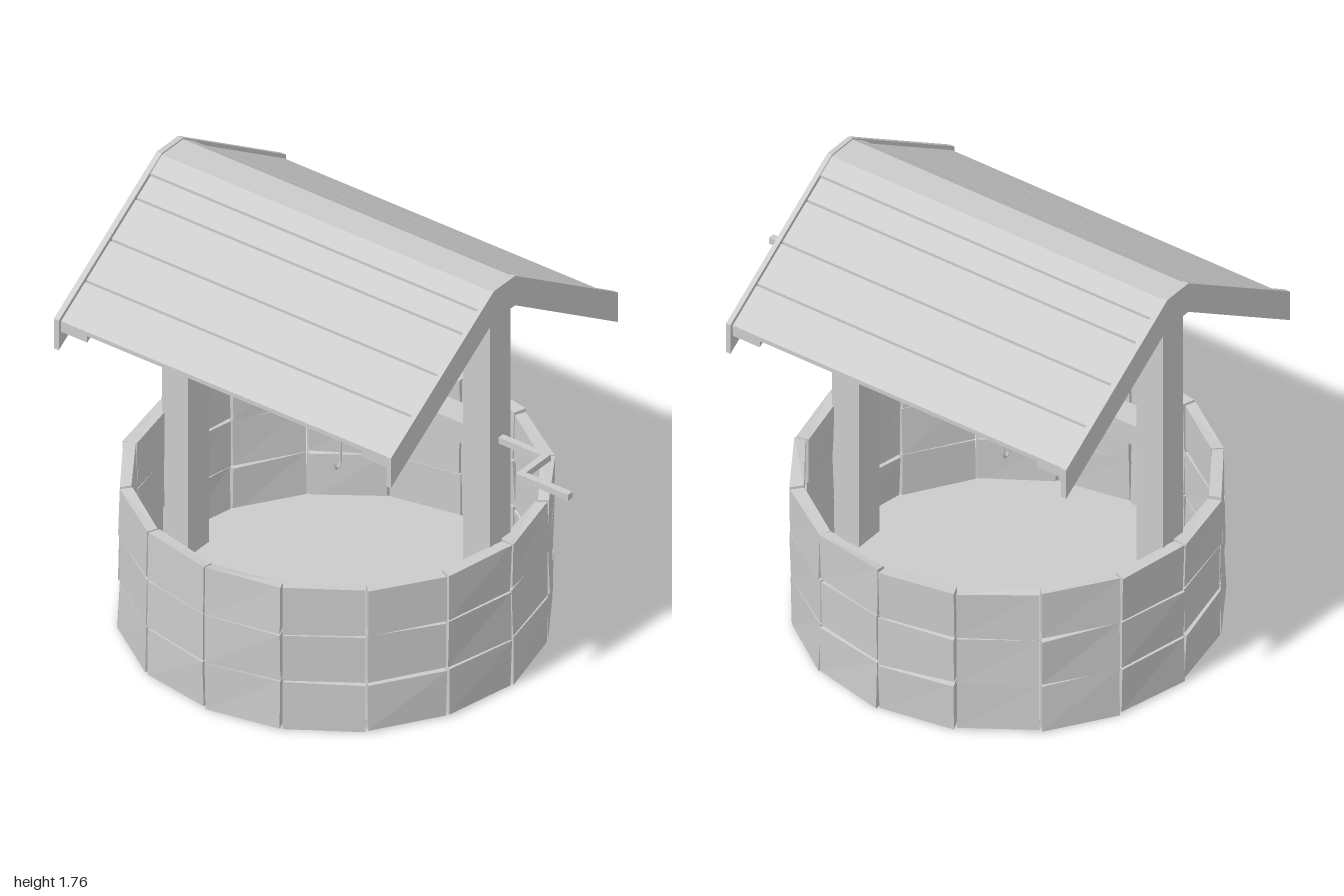
import * as THREE from 'three';
import { RoundedBoxGeometry } from 'three/addons/geometries/RoundedBoxGeometry.js';

const material = new THREE.MeshStandardMaterial({ color: 0xcccccc, flatShading: true });
const CX = -0.19;        // centre of the stone ring and roof along x
const SLOPE = 0.645;     // roof fall per unit of z
const FLAT = 0.065;      // half width of the flat ridge

function add(parent, name, geometry, x = 0, y = 0, z = 0) {
  const mesh = new THREE.Mesh(geometry, material);
  mesh.name = name;
  mesh.position.set(x, y, z);
  parent.add(mesh);
  return mesh;
}

// Box given by its limits on each axis
function block(parent, name, [x0, x1], [y0, y1], [z0, z1]) {
  return add(parent, name, new THREE.BoxGeometry(x1 - x0, y1 - y0, z1 - z0),
    (x0 + x1) / 2, (y0 + y1) / 2, (z0 + z1) / 2);
}

// A (z, y) outline extruded along x from x0 to x1
function extrudeX(parent, name, outline, x0, x1) {
  const shape = new THREE.Shape(outline.map(([z, y]) => new THREE.Vector2(z, y)));
  const g = new THREE.ExtrudeGeometry(shape, { depth: x1 - x0, bevelEnabled: false });
  g.rotateY(-Math.PI / 2);
  return add(parent, name, g, x1);
}

// Roof-shaped outline: flat ridge with two sloping legs of even thickness
function chevron(top, halfWidth, thick) {
  const eave = top - SLOPE * (halfWidth - FLAT);
  const upper = [[-halfWidth, eave], [-FLAT, top], [FLAT, top], [halfWidth, eave]];
  return [...upper, ...upper.map(([z, y]) => [z, y - thick]).reverse()];
}

function seeded(seed) {
  return () => {
    seed = (seed * 16807) % 2147483647;
    return seed / 2147483647 - 0.5;
  };
}

// One slightly uneven stone, bent onto the ring
function stoneGeometry(a0, a1, y0, y1, rand) {
  const g = new THREE.BoxGeometry(1, 1, 1);
  const p = g.attributes.position;
  const jitter = Array.from({ length: 8 }, () => [rand() * 0.012, rand() * 0.012]);
  for (let i = 0; i < p.count; i++) {
    const sx = p.getX(i) > 0, sy = p.getY(i) > 0, sz = p.getZ(i) > 0;
    const [dy, dr] = jitter[(sx ? 1 : 0) + (sy ? 2 : 0) + (sz ? 4 : 0)];
    const a = sx ? a1 : a0;
    const r = (sz ? 0.808 : 0.76) + dr;
    p.setXYZ(i, r * Math.sin(a), (sy ? y1 : y0) + dy, r * Math.cos(a));
  }
  g.computeVertexNormals();
  return g;
}

export function createModel() {
  const model = new THREE.Group();
  model.name = 'well';

  // Stone wall: three courses of sixteen stones
  const wall = new THREE.Group();
  wall.name = 'stoneWall';
  wall.position.x = CX;
  model.add(wall);
  const rand = seeded(4711);
  const step = Math.PI / 8, gap = 0.006;
  for (let row = 0; row < 3; row++) {
    const y0 = 0.014 + row * 0.208;
    for (let i = 0; i < 16; i++) {
      add(wall, 'stone', stoneGeometry(i * step + gap, (i + 1) * step - gap, y0, y0 + 0.201, rand));
    }
  }
  add(wall, 'floor', new THREE.CylinderGeometry(0.765, 0.765, 0.01, 16), 0, 0.03, 0);

  // Posts, rafters and gable boards at both ends
  const posts = [[-0.945, -0.825], [0.442, 0.565]];
  const gables = [[-0.968, -0.945], [0.565, 0.585]];
  for (let i = 0; i < 2; i++) {
    block(model, 'post', posts[i], [0.01, 1.72], [-0.063, 0.063]);
    extrudeX(model, 'rafter', chevron(1.732, 0.68, 0.03), ...posts[i]);
    extrudeX(model, 'gableBoard', chevron(1.768, 0.695, 0.13), ...gables[i]);
  }

  // Roof planks on both slopes, with a ridge cap
  const roof = new THREE.Group();
  roof.name = 'roof';
  model.add(roof);
  const plankTop = z => 1.75 - SLOPE * (z - FLAT);
  for (const side of [1, -1]) {
    for (let i = 0; i < 4; i++) {
      const a = FLAT + i * 0.155 + 0.004, b = FLAT + (i + 1) * 0.155 - 0.004;
      const outline = [
        [a, plankTop(a)], [b, plankTop(b)],
        [b, plankTop(b) - 0.018], [a, plankTop(a) - 0.018],
      ].map(([z, y]) => [side * z, y]);
      extrudeX(roof, 'plank', outline, -0.945, 0.565);
    }
  }
  extrudeX(roof, 'ridgeCap', chevron(1.762, 0.135, 0.03), -0.945, 0.565);

  // Axle with the wound rope
  block(model, 'axle', [-0.83, 0.447], [1.03, 1.12], [-0.055, 0.055]);
  for (let i = 0; i < 10; i++) {
    add(model, 'ropeTurn', new RoundedBoxGeometry(0.041, 0.105, 0.132, 2, 0.012),
      -0.379 + i * 0.042, 1.073, 0);
  }

  // Hanging rope ending in a small hook
  const hookPath = new THREE.CurvePath();
  const v = (y, z) => new THREE.Vector3(-0.17, y, z);
  hookPath.add(new THREE.LineCurve3(v(1.05, 0), v(0.69, 0)));
  hookPath.add(new THREE.CubicBezierCurve3(v(0.69, 0), v(0.657, 0), v(0.657, 0.035), v(0.685, 0.035)));
  add(model, 'ropeAndHook', new THREE.TubeGeometry(hookPath, 40, 0.005, 6, false)).material =
    new THREE.MeshStandardMaterial({ color: 0xcccccc, side: THREE.DoubleSide });

  // Crank handle
  const crank = new THREE.Group();
  crank.name = 'crank';
  model.add(crank);
  const cy = [1.06, 1.087];
  block(crank, 'crankShaft', [0.55, 0.787], cy, [-0.017, 0.01]);
  block(crank, 'crankArm', [0.76, 0.787], cy, [0.01, 0.135]);
  block(crank, 'crankGrip', [0.76, 1.0], cy, [0.135, 0.162]);

  return model;
}
